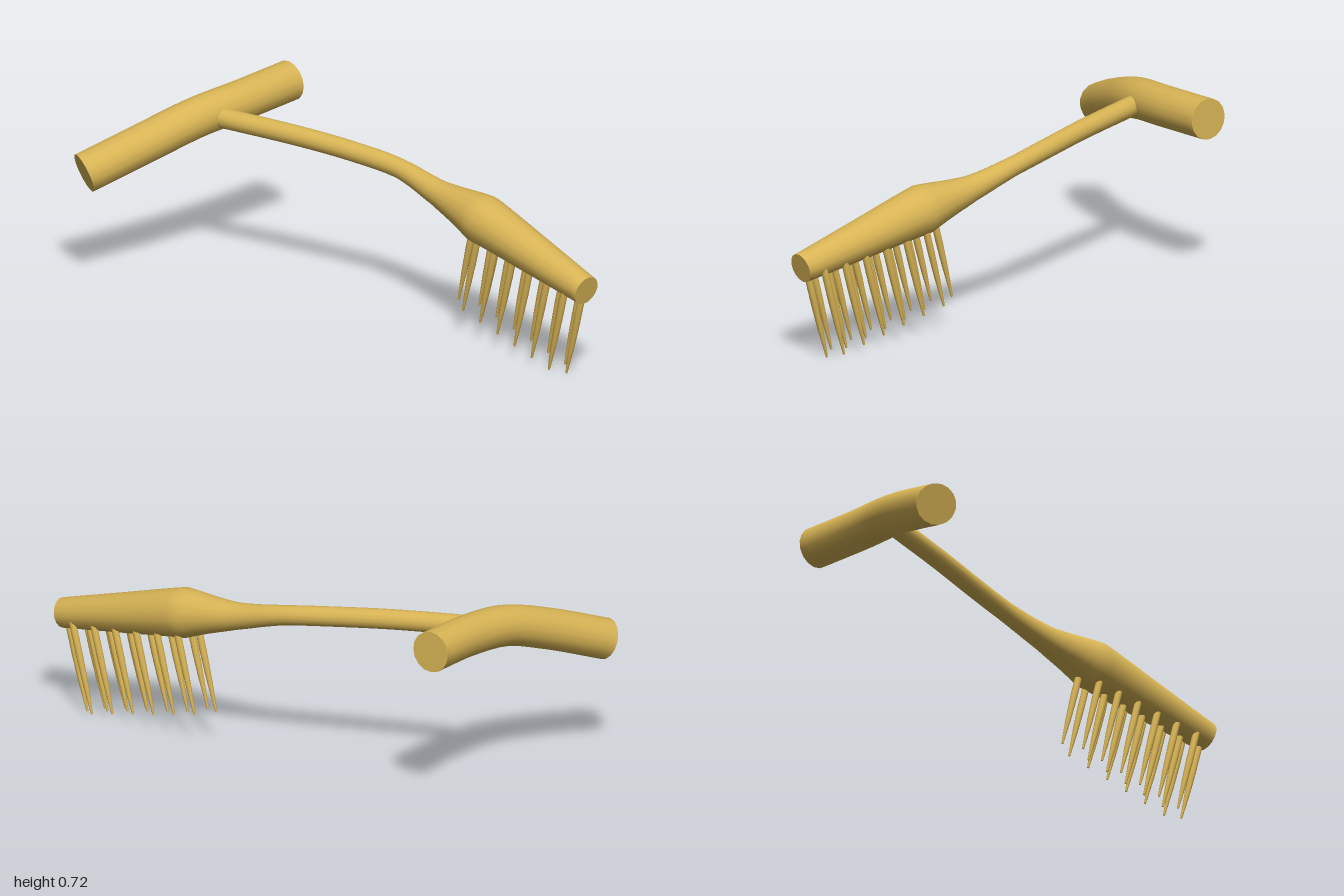
import * as THREE from 'three';
import { mergeVertices, mergeGeometries } from 'three/addons/utils/BufferGeometryUtils.js';

const brass = new THREE.MeshStandardMaterial({ color: 0xd8b455 });
const SIDES = 16;

function curveThrough(points) {
  return new THREE.CatmullRomCurve3(points.map(p => new THREE.Vector3(...p)));
}

// Closed round bar along a curve; radiusAt receives the centre point of each ring.
function sweptBar(curve, segments, radiusAt) {
  const geo = new THREE.TubeGeometry(curve, segments, 1, SIDES);
  const pos = geo.attributes.position;
  const v = new THREE.Vector3();
  const caps = [];
  for (let i = 0; i <= segments; i++) {
    const c = curve.getPointAt(i / segments);
    const r = radiusAt(c);
    const ring = [];
    for (let j = 0; j <= SIDES; j++) {
      const k = i * (SIDES + 1) + j;
      v.fromBufferAttribute(pos, k).sub(c).multiplyScalar(r).add(c);
      pos.setXYZ(k, v.x, v.y, v.z);
      ring.push(v.clone());
    }
    // Flat caps on the first and last rings
    if (i === 0 || i === segments) {
      const out = curve.getTangentAt(i / segments).multiplyScalar(i ? 1 : -1);
      const tris = [];
      for (let j = 0; j < SIDES; j++) {
        let [a, b] = [ring[j], ring[j + 1]];
        const n = a.clone().sub(c).cross(b.clone().sub(c));
        if (n.dot(out) < 0) [a, b] = [b, a];
        tris.push(c, a, b);
      }
      const cap = new THREE.BufferGeometry().setFromPoints(tris);
      cap.computeVertexNormals();
      caps.push(cap);
    }
  }
  geo.deleteAttribute('uv');
  geo.deleteAttribute('normal');
  const side = mergeVertices(geo, 1e-5);
  side.computeVertexNormals();
  return mergeGeometries([side.toNonIndexed(), ...caps]);
}

function addMesh(parent, geometry, name) {
  const mesh = new THREE.Mesh(geometry, brass);
  mesh.name = name;
  parent.add(mesh);
  return mesh;
}

export function createModel() {
  const model = new THREE.Group();
  model.name = 'rake';

  // Bent cross handle
  const grip = curveThrough([
    [-0.424, 0.463, -0.922], [-0.2, 0.55, -0.838], [0, 0.612, -0.785],
    [0.2, 0.632, -0.768], [0.45, 0.643, -0.779],
  ]);
  addMesh(model, sweptBar(grip, 24, () => 0.077), 'crossHandle');

  // Curved shaft swelling into the tapered head: [z, radius]
  const radii = [[-0.78, 0.038], [0, 0.037], [0.1, 0.042], [0.2, 0.05],
    [0.3, 0.067], [0.43, 0.094], [0.985, 0.056]];
  const radiusAt = ({ z }) => {
    let i = 1;
    while (i < radii.length - 1 && z > radii[i][0]) i++;
    const [[z0, r0], [z1, r1]] = [radii[i - 1], radii[i]];
    return THREE.MathUtils.mapLinear(THREE.MathUtils.clamp(z, z0, z1), z0, z1, r0, r1);
  };
  const spine = curveThrough([
    [0.05, 0.615, -0.77], [0.18, 0.602, -0.4], [0.248, 0.587, -0.2], [0.303, 0.564, 0],
    [0.32, 0.52, 0.2], [0.33, 0.484, 0.43], [0.338, 0.425, 0.7], [0.345, 0.362, 0.985],
  ]);
  addMesh(model, sweptBar(spine, 64, radiusAt), 'shaftAndHead');

  // Three staggered rows of tapering tines, leaning forward towards the head
  const tineGeo = new THREE.LatheGeometry(
    [[0, 0], [0.004, 0], [0.0105, 0.12], [0.013, 0.22], [0.013, 0.37], [0, 0.37]]
      .map(p => new THREE.Vector2(...p)), 10);
  const lean = new THREE.Vector3(0, 0.967, 0.256).normalize();
  const tines = new THREE.Group();
  tines.name = 'tines';
  model.add(tines);
  const addTine = (offset, z) => {
    const tine = addMesh(tines, tineGeo, 'tine');
    const back = 0.87 - z;
    tine.position.set(0.349 - back * 0.03 + offset, 0.003 + back * 0.2155, z);
    tine.quaternion.setFromUnitVectors(new THREE.Vector3(0, 1, 0), lean);
  };
  for (let k = 0; k < 6; k++) {
    addTine(0, 0.87 - 0.09 * k);
    for (const s of [-1, 1]) addTine(s * 0.04, 0.82 - 0.092 * k);
  }
  addTine(0, 0.293);

  return model;
}
